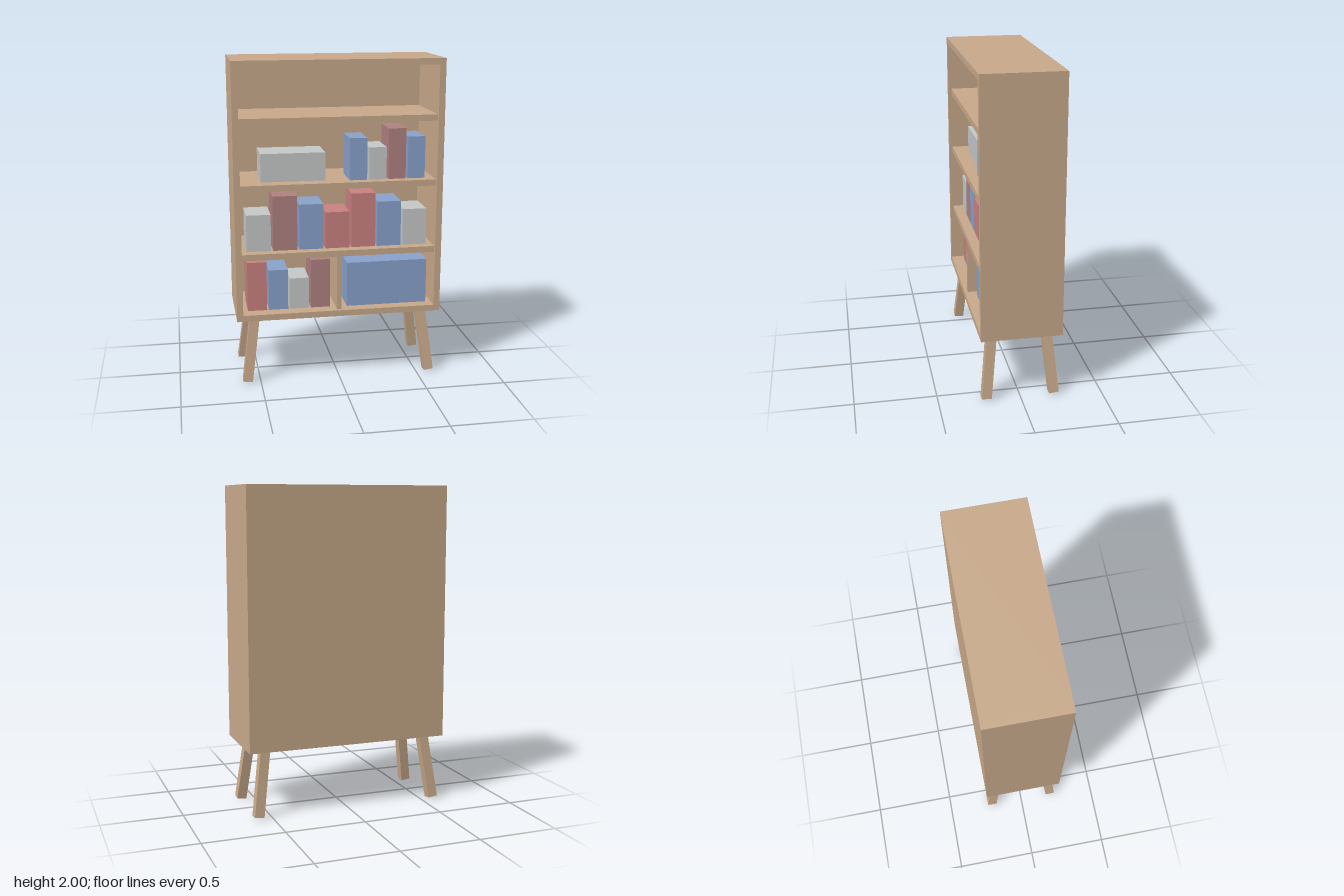
import * as THREE from 'three';

const mat = (name, color) => {
  const m = new THREE.MeshStandardMaterial({ color });
  m.name = name;
  return m;
};

export function createModel() {
  const group = new THREE.Group();
  const wood = mat('wood', 0xc9aa8b);
  const blue = mat('blue', 0x8aa2cc);
  const grey = mat('grey', 0xc5c9c8);
  const red = mat('red', 0xc98280);
  const mauve = mat('mauve', 0xb08281);

  // Box given by its extents on each axis
  const block = (name, material, x0, x1, y0, y1, z0, z1) => {
    const mesh = new THREE.Mesh(new THREE.BoxGeometry(x1 - x0, y1 - y0, z1 - z0), material);
    mesh.position.set((x0 + x1) / 2, (y0 + y1) / 2, (z0 + z1) / 2);
    mesh.name = name;
    group.add(mesh);
  };

  // Cabinet shell
  const W = 0.64, D = 0.247, T = 0.038, I = W - T, B = 0.415, backZ = -0.215;
  block('leftPanel', wood, I, W, B, 2, -D, D);
  block('rightPanel', wood, -W, -I, B, 2, -D, D);
  block('topPanel', wood, -I, I, 2 - T, 2, -D, D);
  block('bottomPanel', wood, -I, I, B, B + T, -D, D);
  block('backPanel', wood, -I, I, B + T, 2 - T, -D, backZ);

  // Shelves and lower divider, set back slightly from the front
  for (const y of [0.797, 1.223, 1.624]) block('shelf', wood, -I, I, y, y + T, backZ, D - 0.02);
  block('divider', wood, -0.015, 0.011, B + T, 0.797, backZ, D - 0.02);

  // Splayed legs
  for (const sx of [-1, 1]) for (const sz of [-1, 1]) {
    const foot = new THREE.Vector3(sx * 0.582, 0.008, sz * 0.209);
    const top = new THREE.Vector3(sx * 0.527, 0.425, sz * 0.166);
    const dir = top.clone().sub(foot);
    const leg = new THREE.Mesh(new THREE.BoxGeometry(0.06, dir.length(), 0.06), wood);
    leg.position.copy(foot).add(top).multiplyScalar(0.5);
    leg.quaternion.setFromUnitVectors(new THREE.Vector3(0, 1, 0), dir.normalize());
    leg.name = 'leg';
    group.add(leg);
  }

  // Rows of books: start x, spacing, width, then colour and height of each
  const rows = [
    [0.453, -0.567, 0.132, 0.12, [[red, 0.312], [blue, 0.257], [grey, 0.198], [mauve, 0.312]]],
    [0.835, -0.566, 0.163, 0.15, [[grey, 0.23], [mauve, 0.342], [blue, 0.285], [red, 0.23],
      [red, 0.342], [blue, 0.285], [grey, 0.23]]],
    [1.261, 0.074, 0.121, 0.108, [[blue, 0.26], [grey, 0.2], [mauve, 0.313], [blue, 0.26]]],
  ];
  for (const [y, x, step, w, books] of rows) {
    books.forEach(([m, h], i) =>
      block('book', m, x + i * step, x + i * step + w, y, y + h, -0.05, 0.165));
  }

  // Storage boxes
  block('storageBox', grey, -0.47, -0.073, 1.261, 1.435, -0.09, 0.138);
  block('storageBox', blue, 0.056, 0.567, 0.453, 0.737, -0.12, 0.175);

  return group;
}
